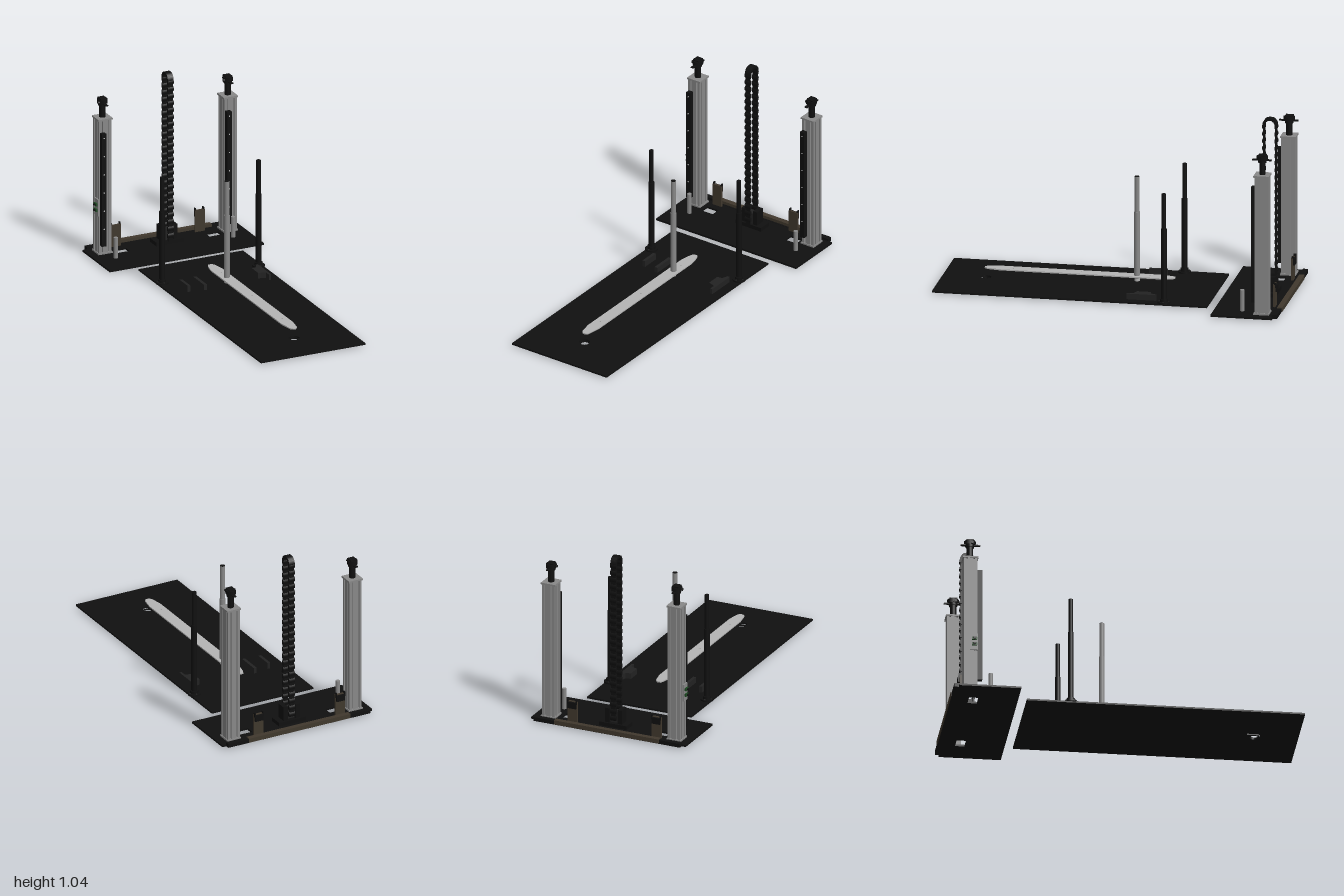
import * as THREE from 'three';

const mat = (color) => new THREE.MeshStandardMaterial({ color });
const black = mat(0x101010), dark = mat(0x222222), steel = mat(0x888888);
const light = mat(0xb4b4b4), brown = mat(0x40382d), green = mat(0x1d4a22);

function add(parent, name, geo, material, x = 0, y = 0, z = 0) {
  const m = new THREE.Mesh(geo, material);
  m.name = name;
  m.position.set(x, y, z);
  parent.add(m);
  return m;
}

// Box given by its min and max on each axis
const box = (p, name, m, x0, x1, y0, y1, z0, z1) =>
  add(p, name, new THREE.BoxGeometry(x1 - x0, y1 - y0, z1 - z0), m, (x0 + x1) / 2, (y0 + y1) / 2, (z0 + z1) / 2);

// Upright cylinder between two heights
const post = (p, name, m, r, y0, y1, x, z, sides = 24) =>
  add(p, name, new THREE.CylinderGeometry(r, r, y1 - y0, sides), m, x, (y0 + y1) / 2, z);

// Flat outline in x and z, raised from y0 to y1
function slab(p, name, m, shape, y0, y1) {
  const g = new THREE.ExtrudeGeometry(shape, { depth: y1 - y0, bevelEnabled: false, curveSegments: 16 });
  g.rotateX(-Math.PI / 2);
  return add(p, name, g, m, 0, y0, 0);
}
const outline = (pts) => new THREE.Shape(pts.map(([x, z]) => new THREE.Vector2(x, -z)));
const rect = (x0, x1, z0, z1) => outline([[x0, z0], [x0, z1], [x1, z1], [x1, z0]]);
function roundHole(shape, x, z, r) {
  shape.holes.push(new THREE.Path().absarc(x, -z, r, 0, Math.PI * 2));
  return shape;
}

// Square extrusion with two T-slots on each side
function slottedProfile(h) {
  const pts = [];
  for (let side = 0; side < 4; side++) {
    const a = side * Math.PI / 2;
    const edge = [[-h, h]];
    for (const c of [-h / 2, h / 2]) {
      edge.push([c - 0.004, h], [c - 0.004, h - 0.004], [c - 0.008, h - 0.004], [c - 0.005, h - 0.012],
        [c + 0.005, h - 0.012], [c + 0.008, h - 0.004], [c + 0.004, h - 0.004], [c + 0.004, h]);
    }
    for (const [u, v] of edge) {
      pts.push([u * Math.cos(a) + v * Math.sin(a), -u * Math.sin(a) + v * Math.cos(a)]);
    }
  }
  return outline(pts);
}

function makeColumn(name, x) {
  const g = new THREE.Group();
  g.name = name;
  slab(g, 'columnExtrusion', steel, slottedProfile(0.039), 0.018, 0.822);
  box(g, 'columnCap', steel, -0.044, 0.044, 0.82, 0.83, -0.044, 0.044);
  box(g, 'columnFoot', steel, -0.044, 0.044, 0.016, 0.026, -0.044, 0.044);
  // Clamp post and knob on the cap
  post(g, 'clampPost', black, 0.018, 0.83, 0.91, 0, 0);
  post(g, 'clampCollar', black, 0.024, 0.9, 0.915, 0, 0);
  const knob = post(g, 'clampKnob', black, 0.03, 0.914, 0.938, 0, 0, 8);
  knob.scale.z = 1.1;
  box(g, 'knobTop', black, -0.02, 0.02, 0.936, 0.945, -0.022, 0.022);
  box(g, 'clampLever', black, -0.009, 0.009, 0.911, 0.917, -0.052, 0.058);
  const screw = add(g, 'clampScrew', new THREE.CylinderGeometry(0.008, 0.008, 0.012, 12), dark, -0.027, 0.922, 0.01);
  screw.rotation.z = Math.PI / 2;
  // Drilled rail on the front face
  box(g, 'guideRail', black, -0.034, -0.006, 0.073, 0.75, 0.039, 0.066);
  for (let i = 0; i < 6; i++) {
    const s = add(g, 'railScrew', new THREE.CylinderGeometry(0.004, 0.004, 0.003, 10), light, -0.02, 0.177 + i * 0.1095, 0.066);
    s.rotation.x = Math.PI / 2;
  }
  g.position.set(x, 0, -0.9);
  return g;
}

function makeChain() {
  const g = new THREE.Group();
  g.name = 'cableChain';
  const r = 0.035, y0 = 0.05, top = 1.002, zc = -0.868;
  const straight = top - y0, arc = Math.PI * r, total = 2 * straight + arc;
  const count = 48, step = total / count;
  const link = new THREE.CylinderGeometry(0.0085, 0.0085, 0.036, 10).rotateZ(Math.PI / 2).scale(1, 1.9, 1);
  const web = new THREE.BoxGeometry(0.03, step * 0.6, 0.009);
  // Position and tilt at a distance along the loop
  const place = (mesh, d) => {
    if (d < straight) mesh.position.set(0, y0 + d, zc + r);
    else if (d > straight + arc) mesh.position.set(0, y0 + total - d, zc - r);
    else {
      const a = (d - straight) / r;
      mesh.position.set(0, top + r * Math.sin(a), zc + r * Math.cos(a));
      mesh.rotation.x = -a;
    }
  };
  for (let i = 0; i < count; i++) {
    place(add(g, 'chainLink', link, black), (i + 0.5) * step);
    place(add(g, 'chainWeb', web, black), i * step);
  }
  // Smooth band over the bend
  const band = new THREE.Shape();
  band.absarc(0, 0, r + 0.007, 0, Math.PI, false);
  band.absarc(0, 0, r - 0.007, Math.PI, 0, true);
  const bandGeo = new THREE.ExtrudeGeometry(band, { depth: 0.036, bevelEnabled: false });
  bandGeo.translate(0, 0, -0.018).rotateY(Math.PI / 2);
  add(g, 'chainBend', bandGeo, black, 0, top, zc);
  // Anchor block
  box(g, 'chainBase', black, -0.086, 0.086, 0.016, 0.04, -0.915, -0.835);
  for (const s of [-1, 1]) box(g, 'chainCheek', black, s * 0.0385 - 0.0135, s * 0.0385 + 0.0135, 0.03, 0.125, -0.905, -0.845);
  box(g, 'chainAnchor', dark, -0.026, 0.026, 0.03, 0.105, -0.89, -0.85);
  return g;
}

function makeTelescopicLeg(name, x) {
  const g = new THREE.Group();
  g.name = name;
  post(g, 'legFlange', black, 0.036, 0.015, 0.026, x, -0.32);
  post(g, 'legSocket', black, 0.023, 0.024, 0.042, x, -0.32);
  post(g, 'legLower', black, 0.0165, 0.035, 0.45, x, -0.32);
  post(g, 'legUpper', black, 0.0128, 0.45, 0.655, x, -0.32);
  for (let i = -1; i <= 1; i++) post(g, 'flangeBolt', dark, 0.005, 0.024, 0.029, x + Math.sign(x) * (i ? 0 : 0.027), -0.32 + i * 0.028, 10);
  return g;
}

export function createModel() {
  const model = new THREE.Group();

  // Floor plates
  const front = rect(-0.325, 0.325, -0.57, 1);
  roundHole(front, 0, 0.755, 0.031);
  slab(model, 'frontPlate', black, front, 0.007, 0.017);
  slab(model, 'holeFrame', black, roundHole(rect(-0.034, 0.034, 0.708, 0.776), 0, 0.75, 0.024), 0, 0.008);

  const rear = rect(-0.48, 0.48, -0.97, -0.62);
  for (const s of [-1, 1]) {
    rear.holes.push(rect(s * 0.287 - 0.038, s * 0.287 + 0.038, -0.897, -0.842));
  }
  slab(model, 'rearPlate', black, rear, 0.006, 0.017);
  box(model, 'rearLedge', black, -0.455, 0.455, 0.007, 0.018, -0.995, -0.96);
  box(model, 'rearBeam', brown, -0.325, 0.325, 0.01, 0.035, -1, -0.97);
  for (const s of [-1, 1]) box(model, 'beamEnd', black, s * 0.39 - 0.065, s * 0.39 + 0.065, 0.016, 0.03, -0.995, -0.965);

  // Columns, chain and short tubes on the rear plate
  model.add(makeColumn('rightColumn', -0.391), makeColumn('leftColumn', 0.389), makeChain());
  for (const s of [-1, 1]) {
    post(model, 'shortTube', steel, 0.0125, 0.016, 0.14, s * 0.365, -0.78);
  }

  // Upright brackets at the back
  for (const x of [-0.287, 0.235]) {
    const g = new THREE.Group();
    g.name = 'rearBracket';
    box(g, 'bracketPlate', brown, x - 0.03, x + 0.03, 0.016, 0.147, -0.948, -0.936);
    box(g, 'bracketLip', black, x - 0.026, x + 0.026, 0.105, 0.143, -0.957, -0.946);
    for (const s of [-1, 1]) box(g, 'bracketPin', black, x + s * 0.026 - 0.003, x + s * 0.026 + 0.003, 0.13, 0.158, -0.955, -0.94);
    model.add(g);
  }

  // Connector on the outer side of the right column
  box(model, 'connectorPlate', steel, -0.438, -0.429, 0.25, 0.35, -0.905, -0.86);
  for (const y of [0.284, 0.318]) {
    box(model, 'connectorBody', green, -0.447, -0.436, y - 0.008, y + 0.008, -0.895, -0.865);
    box(model, 'connectorTip', black, -0.456, -0.445, y - 0.004, y + 0.004, -0.886, -0.873);
  }

  // Telescopic legs on the front plate
  model.add(makeTelescopicLeg('rightLeg', -0.3), makeTelescopicLeg('leftLeg', 0.3));

  // Central mast through the long tapered bar
  post(model, 'mastTip', light, 0.015, 0.045, 0.07, 0, -0.108);
  post(model, 'mastLower', steel, 0.0165, 0.06, 0.45, 0, -0.108);
  post(model, 'mastUpper', steel, 0.0145, 0.45, 0.655, 0, -0.108);
  post(model, 'mastCap', black, 0.0135, 0.654, 0.657, 0, -0.108);
  const bar = outline([[-0.012, -0.325], [-0.022, -0.305], [-0.035, -0.24], [-0.035, 0.67], [-0.022, 0.745],
    [-0.01, 0.76], [0.01, 0.76], [0.022, 0.745], [0.035, 0.67], [0.035, -0.24], [0.022, -0.305], [0.012, -0.325]]);
  for (const z of [-0.18, 0.21, 0.6]) roundHole(bar, 0, z, 0.005);
  slab(model, 'taperedBar', light, bar, 0.07, 0.077);

  // Low blocks on the front plate
  box(model, 'lowBlock', dark, -0.231, -0.214, 0.016, 0.054, -0.24, -0.135);
  box(model, 'lowBlock', dark, -0.137, -0.119, 0.016, 0.05, -0.255, -0.12);
  slab(model, 'lowBracket', dark, outline([[0.215, -0.23], [0.215, -0.15], [0.235, -0.145], [0.258, -0.135],
    [0.258, -0.1], [0.272, -0.1], [0.272, -0.27], [0.258, -0.27], [0.245, -0.235]]), 0.016, 0.05);

  return model;
}
